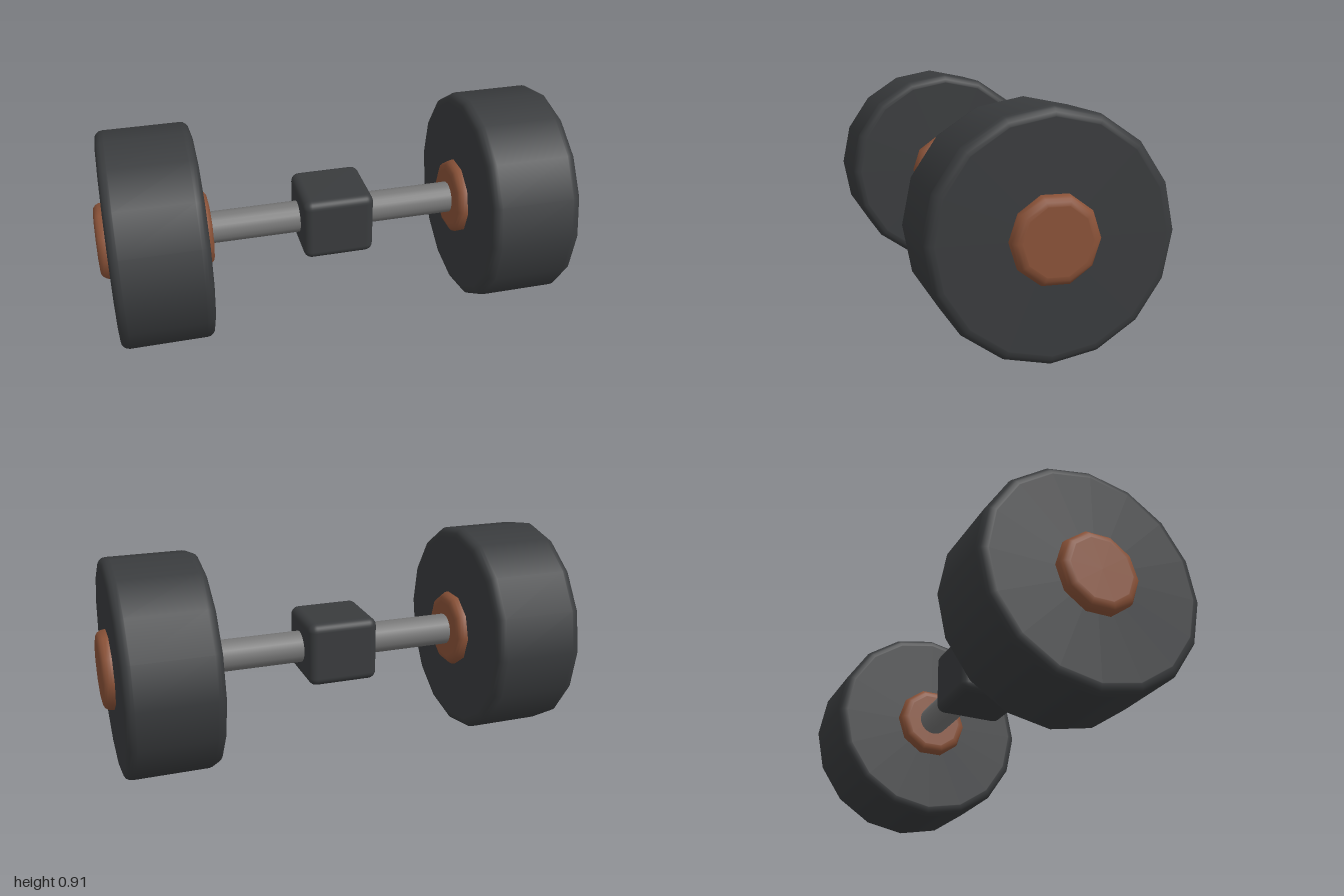
import * as THREE from 'three';
import { RoundedBoxGeometry } from 'three/addons/geometries/RoundedBoxGeometry.js';

const AXIS_Y = 0.457;
const rubber = new THREE.MeshStandardMaterial({ color: 0x393b3d });
const copper = new THREE.MeshStandardMaterial({ color: 0x8a5238 });
const steel = new THREE.MeshStandardMaterial({ color: 0x777777 });

// Solid disc along x with rounded rims; extra rings keep the flat areas flat
function roundedDisc(radius, width, round, sides) {
  const h = width / 2, eps = 0.003, steps = 4;
  const pts = [new THREE.Vector2(0, -h), new THREE.Vector2(radius - round - eps, -h)];
  for (const end of [-1, 1]) {
    if (end === 1) pts.push(new THREE.Vector2(radius, h - round - eps));
    for (let i = 0; i <= steps; i++) {
      const a = (end === -1 ? i / steps - 1 : i / steps) * Math.PI / 2;
      pts.push(new THREE.Vector2(
        radius - round + round * Math.cos(a),
        end * (h - round) + round * Math.sin(a)));
    }
    if (end === -1) pts.push(new THREE.Vector2(radius, -h + round + eps));
  }
  pts.push(new THREE.Vector2(radius - round - eps, h), new THREE.Vector2(0, h));
  return new THREE.LatheGeometry(pts, sides).rotateZ(Math.PI / 2);
}

export function createModel() {
  const model = new THREE.Group();
  model.name = 'wheelAxle';

  const add = (name, geometry, material, x = 0, y = AXIS_Y) => {
    const mesh = new THREE.Mesh(geometry, material);
    mesh.name = name;
    mesh.position.set(x, y, 0);
    model.add(mesh);
  };

  // Axle bar and central block
  add('axle', new THREE.CylinderGeometry(0.068, 0.068, 1.2, 20).rotateZ(Math.PI / 2), steel);
  add('centerBlock', new RoundedBoxGeometry(0.302, 0.275, 0.302, 4, 0.035), rubber, 0, 0.459);

  // Wheels, each with a hub running through it
  const wheel = roundedDisc(0.457, 0.385, 0.035, 16);
  const hub = roundedDisc(0.165, 0.47, 0.035, 10);
  for (const [side, s] of [['left', 1], ['right', -1]]) {
    add(side + 'Wheel', wheel, rubber, s * 0.763);
    add(side + 'Hub', hub, copper, s * 0.765);
  }
  return model;
}
